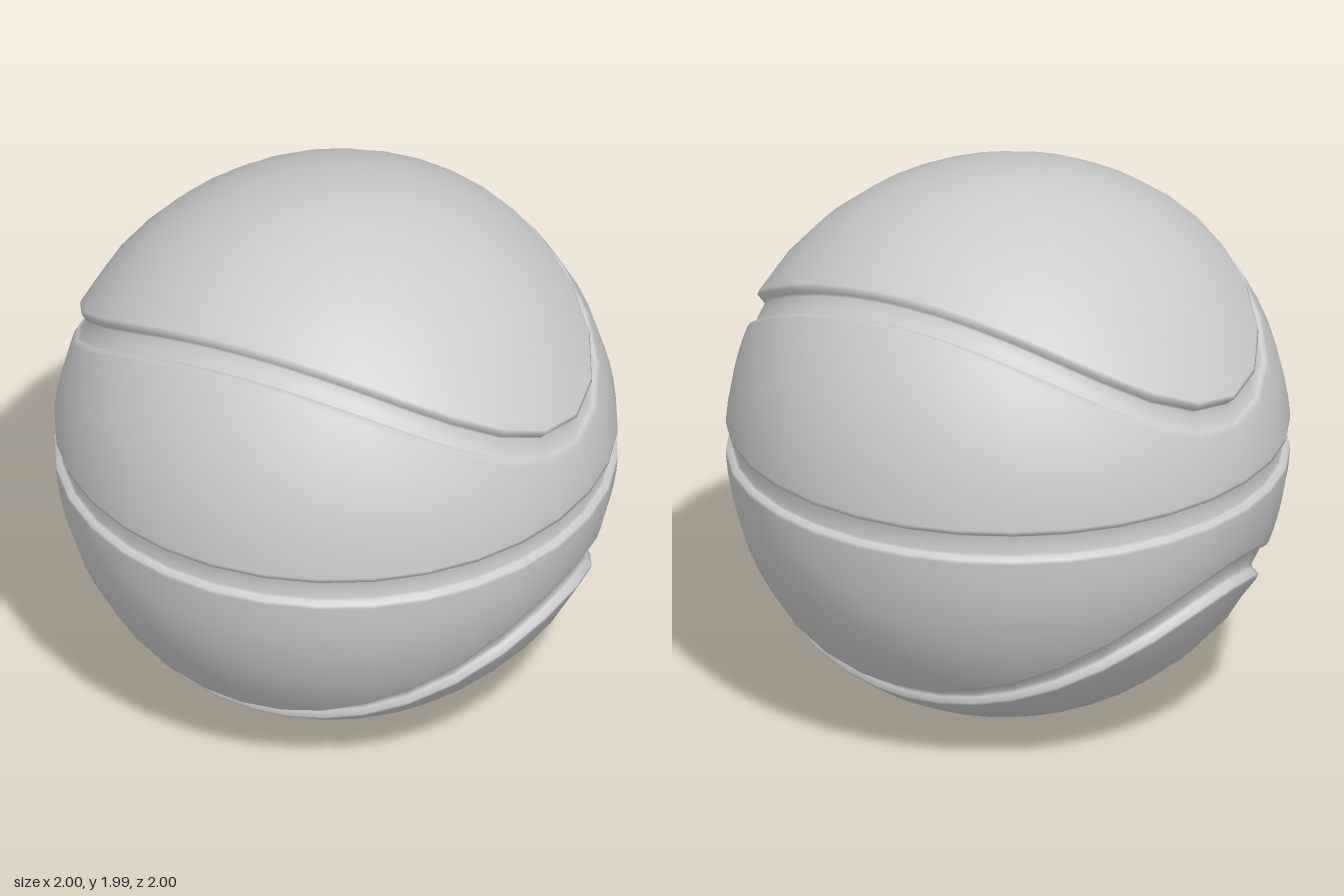
import * as THREE from 'three';

const COLUMNS = 32, HALF_WIDTH = 0.05;
const lerp = THREE.MathUtils.lerp;

// Elevation of the curved seam: where y = 0.31 + 0.84 z^2 meets the unit sphere
function seamElevation(theta) {
  const k = 0.84 * Math.cos(theta) ** 2;
  return Math.asin(2 * (0.31 + k) / (1 + Math.sqrt(1 + 4 * k * (0.31 + k))));
}

// Rows [elevation, radius] of the upper half, from below the pole to the equator
function meridian(theta) {
  const e = seamElevation(theta), d = 0.01;
  const slope = (seamElevation(theta + d) - seamElevation(theta - d)) / (2 * d) / Math.cos(e);
  const h = HALF_WIDTH * Math.hypot(1, slope);
  const front = Math.cos(theta) ** 2;
  const capLip = 1.018, beltLip = lerp(0.993, 1.018, front), floor = lerp(0.975, 0.985, front);
  const rows = [];
  // cap panel, swelling towards its lip
  const capEdge = e + 1.3 * h;
  for (let i = 1; i <= 6; i++) {
    const t = i / 6;
    rows.push([lerp(Math.PI / 2, capEdge, t), lerp(0.995, capLip, t * t)]);
  }
  // curved groove with rounded lips
  rows.push([e + h, capLip - 0.003], [e + 0.82 * h, floor + 0.012], [e + 0.7 * h, floor], [e, floor],
    [e - 0.7 * h, floor], [e - 0.82 * h, floor + 0.01], [e - h, beltLip - 0.003]);
  // belt panel
  const top = e - 1.3 * h, bottom = 1.3 * HALF_WIDTH;
  for (let i = 0; i <= 5; i++) rows.push([lerp(top, bottom, i / 5), lerp(beltLip, 1.0, i / 5)]);
  // upper half of the equator groove
  rows.push([0.05, 0.998], [0.042, 0.978], [0.035, 0.97]);
  return rows;
}

function ballGeometry() {
  const positions = [0, 1.995, 0], index = [];
  let rowCount = 0;
  for (let c = 0; c < COLUMNS; c++) {
    const theta = c / COLUMNS * Math.PI * 2;
    const upper = meridian(theta);
    const lower = upper.map(([e, r]) => [-e, r]).reverse();
    const rows = [...upper, [0, 0.97], ...lower];
    rowCount = rows.length;
    for (const [e, r] of rows) {
      positions.push(r * Math.cos(e) * Math.sin(theta), 1 + r * Math.sin(e), r * Math.cos(e) * Math.cos(theta));
    }
  }
  const southPole = positions.length / 3;
  positions.push(0, 0.005, 0);
  const at = (c, r) => 1 + (c % COLUMNS) * rowCount + r;
  for (let c = 0; c < COLUMNS; c++) {
    index.push(0, at(c, 0), at(c + 1, 0));
    for (let r = 0; r < rowCount - 1; r++) {
      index.push(at(c, r), at(c, r + 1), at(c + 1, r + 1), at(c, r), at(c + 1, r + 1), at(c + 1, r));
    }
    index.push(at(c, rowCount - 1), southPole, at(c + 1, rowCount - 1));
  }
  const geometry = new THREE.BufferGeometry();
  geometry.setAttribute('position', new THREE.Float32BufferAttribute(positions, 3));
  geometry.setIndex(index);
  geometry.computeVertexNormals();
  return geometry;
}

export function createModel() {
  const group = new THREE.Group();
  group.name = 'ball';
  const shell = new THREE.Mesh(ballGeometry(), new THREE.MeshStandardMaterial({ color: 0xcccccc }));
  shell.name = 'groovedShell';
  group.add(shell);
  return group;
}
